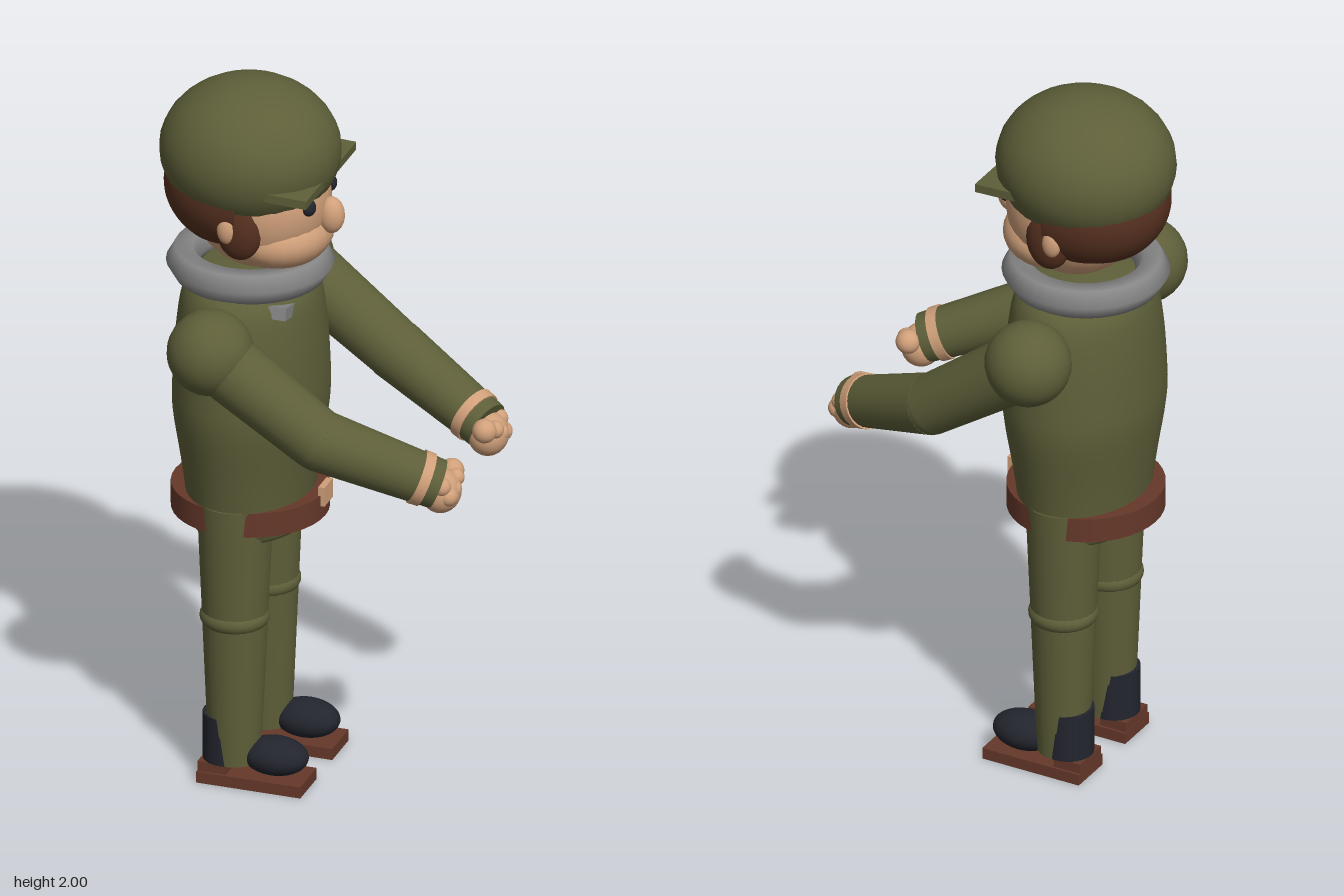
import * as THREE from 'three';

const V = (x, y, z) => new THREE.Vector3(x, y, z);
const CX = -0.21; // body axis; the figure looks towards +x

export function createModel() {
  const root = new THREE.Group();
  root.name = 'soldierFigure';

  const mat = (name, color, side = THREE.FrontSide) => {
    const m = new THREE.MeshStandardMaterial({ color, side });
    m.name = name;
    return m;
  };
  const olive = mat('olive cloth', 0x5e5f39);
  const skin = mat('skin', 0xd0a07a);
  const hair = mat('brown hair', 0x55301f, THREE.DoubleSide);
  const leather = mat('brown leather', 0x66382a);
  const grey = mat('grey wool', 0x868686);
  const dark = mat('dark boot', 0x23252e);

  const add = (name, geo, material, parent = root) => {
    const m = new THREE.Mesh(geo, material);
    m.name = name;
    parent.add(m);
    return m;
  };
  // Ellipsoid placed at p with radii r
  const blob = (name, material, p, r, parent = root) => {
    const m = add(name, new THREE.SphereGeometry(1, 28, 18), material, parent);
    m.position.set(...p);
    m.scale.set(...r);
    return m;
  };
  const box = (name, material, p, s, parent = root) => {
    const m = add(name, new THREE.BoxGeometry(...s), material, parent);
    m.position.set(...p);
    return m;
  };
  // Tapered cylinder running from a to b
  const limb = (name, material, a, b, ra, rb, parent = root) => {
    const d = b.clone().sub(a);
    const m = add(name, new THREE.CylinderGeometry(rb, ra, d.length(), 24), material, parent);
    m.position.copy(a).addScaledVector(d, 0.5);
    m.quaternion.setFromUnitVectors(V(0, 1, 0), d.normalize());
    return m;
  };

  // Torso: lathe widened across the shoulders
  const profile = [[0, 0.72], [0.152, 0.72], [0.165, 0.76], [0.17, 0.82], [0.183, 0.92], [0.203, 1.06],
    [0.203, 1.16], [0.194, 1.3], [0.175, 1.41], [0.13, 1.46], [0, 1.47]];
  const curve = new THREE.SplineCurve(profile.slice(1, -1).map(p => new THREE.Vector2(...p)));
  const points = [new THREE.Vector2(0, 0.72), ...curve.getPoints(30), new THREE.Vector2(0, 1.47)];
  const torso = add('jacket', new THREE.LatheGeometry(points, 40), olive);
  torso.position.x = CX + 0.003;
  torso.scale.z = 1.28;

  // Belt and buckle
  const belt = add('belt', new THREE.CylinderGeometry(0.212, 0.212, 0.07, 40), leather);
  belt.position.set(CX, 0.785, 0);
  box('buckle', skin, [0.002, 0.818, 0], [0.018, 0.055, 0.066]);

  // Scarf ring and its loose end
  const scarf = add('scarf', new THREE.TorusGeometry(0.178, 0.047, 6, 36), grey);
  scarf.rotation.x = Math.PI / 2;
  scarf.position.set(CX, 1.473, 0);
  const tail = box('scarfEnd', grey, [-0.075, 1.4, 0.135], [0.05, 0.035, 0.07]);
  tail.rotation.x = -0.2;

  // Head
  const head = new THREE.Group();
  head.name = 'head';
  root.add(head);
  blob('face', skin, [-0.18, 1.67, 0], [0.19, 0.2, 0.183], head);
  blob('jaw', skin, [-0.125, 1.575, 0], [0.142, 0.095, 0.162], head);
  blob('nose', skin, [0.018, 1.638, 0], [0.037, 0.052, 0.034], head);
  const backHair = add('backHair',
    new THREE.SphereGeometry(1, 32, 16, -Math.PI * 0.56, Math.PI * 1.12, 0.9, 1.44), hair, head);
  backHair.position.set(-0.225, 1.7, 0);
  backHair.scale.set(0.218, 0.18, 0.205);

  // Cap and brim
  blob('cap', olive, [CX, 1.8, 0], [0.245, 0.2, 0.232], head);
  const brim = box('capBrim', olive, [-0.065, 1.755, 0], [0.165, 0.024, 0.395], head);
  brim.rotation.z = -0.04;

  for (const s of [1, -1]) {
    const side = s > 0 ? 'left' : 'right';

    // Face sides
    blob(side + 'Eye', dark, [-0.016, 1.69, 0.083 * s], [0.02, 0.024, 0.022], head);
    blob(side + 'Sideburn', hair, [-0.185, 1.633, 0.158 * s], [0.065, 0.088, 0.042], head);
    blob(side + 'Ear', skin, [-0.21, 1.64, 0.188 * s], [0.027, 0.04, 0.02], head);

    // Arm, reaching forward and slightly inward
    const arm = new THREE.Group();
    arm.name = side + 'Arm';
    root.add(arm);
    const shoulder = V(CX, 1.337, 0.315 * s);
    const elbow = V(0.09, 1.12, 0.3 * s);
    const wrist = V(0.4, 0.985, 0.188 * s);
    const along = t => elbow.clone().lerp(wrist, t);
    blob('shoulder', olive, shoulder.toArray(), [0.117, 0.117, 0.117], arm);
    limb('upperArm', olive, shoulder, elbow, 0.094, 0.083, arm);
    blob('elbow', olive, elbow.toArray(), [0.083, 0.083, 0.083], arm);
    limb('forearm', olive, elbow, along(0.96), 0.084, 0.068, arm);
    limb('cuffBand', skin, along(0.79), along(0.87), 0.0755, 0.0745, arm);

    // Fist with fingers and thumb
    blob('palm', skin, [0.395, 0.97, 0.187 * s], [0.055, 0.06, 0.062], arm);
    for (const [x, y, z, r] of [[0.405, 1.005, 0.128, 0.033], [0.425, 1.0, 0.155, 0.024],
      [0.428, 0.98, 0.185, 0.025], [0.425, 0.97, 0.215, 0.027], [0.41, 1.0, 0.225, 0.026]]) {
      blob('finger', skin, [x, y, z * s], [r, r, r], arm);
    }

    // Leg with a knee band
    const leg = new THREE.Group();
    leg.name = side + 'Leg';
    root.add(leg);
    limb('trouserLeg', olive, V(CX, 0.06, 0.124 * s), V(CX, 0.82, 0.12 * s), 0.07, 0.103, leg);
    blob('hip', olive, [CX, 0.8, 0.12 * s], [0.1, 0.07, 0.1], leg);
    blob('knee', olive, [CX, 0.48, 0.123 * s], [0.094, 0.05, 0.094], leg);

    // Boot and sole
    limb('bootShaft', dark, V(-0.226, 0.06, 0.125 * s), V(-0.226, 0.195, 0.125 * s), 0.07, 0.07, leg);
    blob('bootToe', dark, [-0.095, 0.083, 0.125 * s], [0.092, 0.052, 0.066], leg);
    box('sole', leather, [-0.148, 0.016, 0.126 * s], [0.294, 0.032, 0.13], leg);
    box('heel', leather, [-0.254, 0.04, 0.126 * s], [0.08, 0.04, 0.115], leg);
  }
  return root;
}
